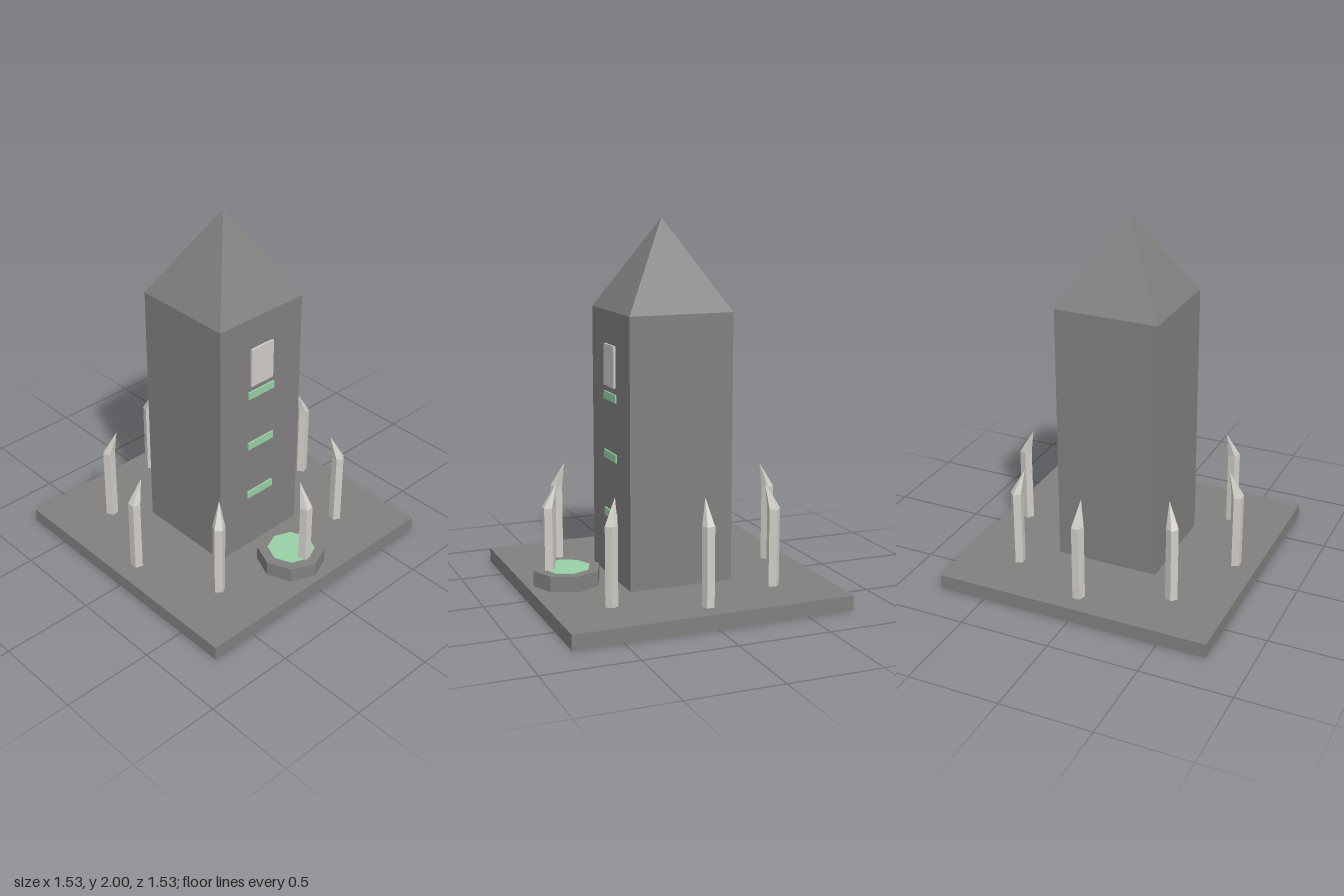
import * as THREE from 'three';

const mat = (name, color) => Object.assign(new THREE.MeshStandardMaterial({ color, flatShading: true }), { name });

export function createModel() {
  const stone = mat('grey stone', 0x827f7f);
  const pale = mat('pale stone', 0xd0cdc7);
  const green = mat('soft green', 0x98d0a5);
  const model = new THREE.Group();
  model.name = 'tower';

  const add = (parent, name, geometry, material, x = 0, y = 0, z = 0) => {
    const mesh = new THREE.Mesh(geometry, material);
    mesh.name = name;
    mesh.position.set(x, y, z);
    parent.add(mesh);
    return mesh;
  };

  // Square plinth, tower shaft and pyramid roof
  add(model, 'base', new THREE.BoxGeometry(1.53, 0.08, 1.53), stone, 0, 0.04, 0);
  add(model, 'shaft', new THREE.BoxGeometry(0.574, 1.44, 0.574), stone, 0, 0.8, 0);
  const roof = new THREE.ConeGeometry(0.287 * Math.SQRT2, 0.48, 4).rotateY(Math.PI / 4);
  add(model, 'roof', roof, stone, 0, 1.76, 0);

  // Window and three ledges on the front wall
  add(model, 'window', new THREE.BoxGeometry(0.154, 0.222, 0.012), pale, 0, 1.233, 0.293);
  for (const y of [1.067, 0.748, 0.427]) {
    add(model, 'ledge', new THREE.BoxGeometry(0.182, 0.043, 0.009), green, 0, y, 0.2915);
  }

  // Octagonal pool
  add(model, 'poolWall', new THREE.CylinderGeometry(0.184, 0.184, 0.083, 8), stone, 0, 0.1215, 0.543);
  add(model, 'poolWater', new THREE.CylinderGeometry(0.129, 0.129, 0.006, 8), green, 0, 0.163, 0.543);

  // Ring of posts whose points lean in towards the tower
  const postGeometry = new THREE.CylinderGeometry(0.035, 0.035, 0.42, 5).rotateY(Math.PI);
  const pointGeometry = new THREE.ConeGeometry(0.035, 0.135, 5).rotateY(Math.PI);
  const p = pointGeometry.attributes.position;
  for (let i = 0; i < p.count; i++) {
    p.setZ(i, p.getZ(i) - 0.05 * (p.getY(i) / 0.135 + 0.5));
  }
  pointGeometry.computeVertexNormals();
  for (let i = 0; i < 8; i++) {
    const a = (i * Math.PI) / 4;
    const post = new THREE.Group();
    post.name = 'post';
    post.position.set(0.64 * Math.sin(a), 0, 0.64 * Math.cos(a));
    post.rotation.y = a;
    add(post, 'postShaft', postGeometry, pale, 0, 0.29, 0);
    add(post, 'postPoint', pointGeometry, pale, 0, 0.5675, 0);
    model.add(post);
  }
  return model;
}
